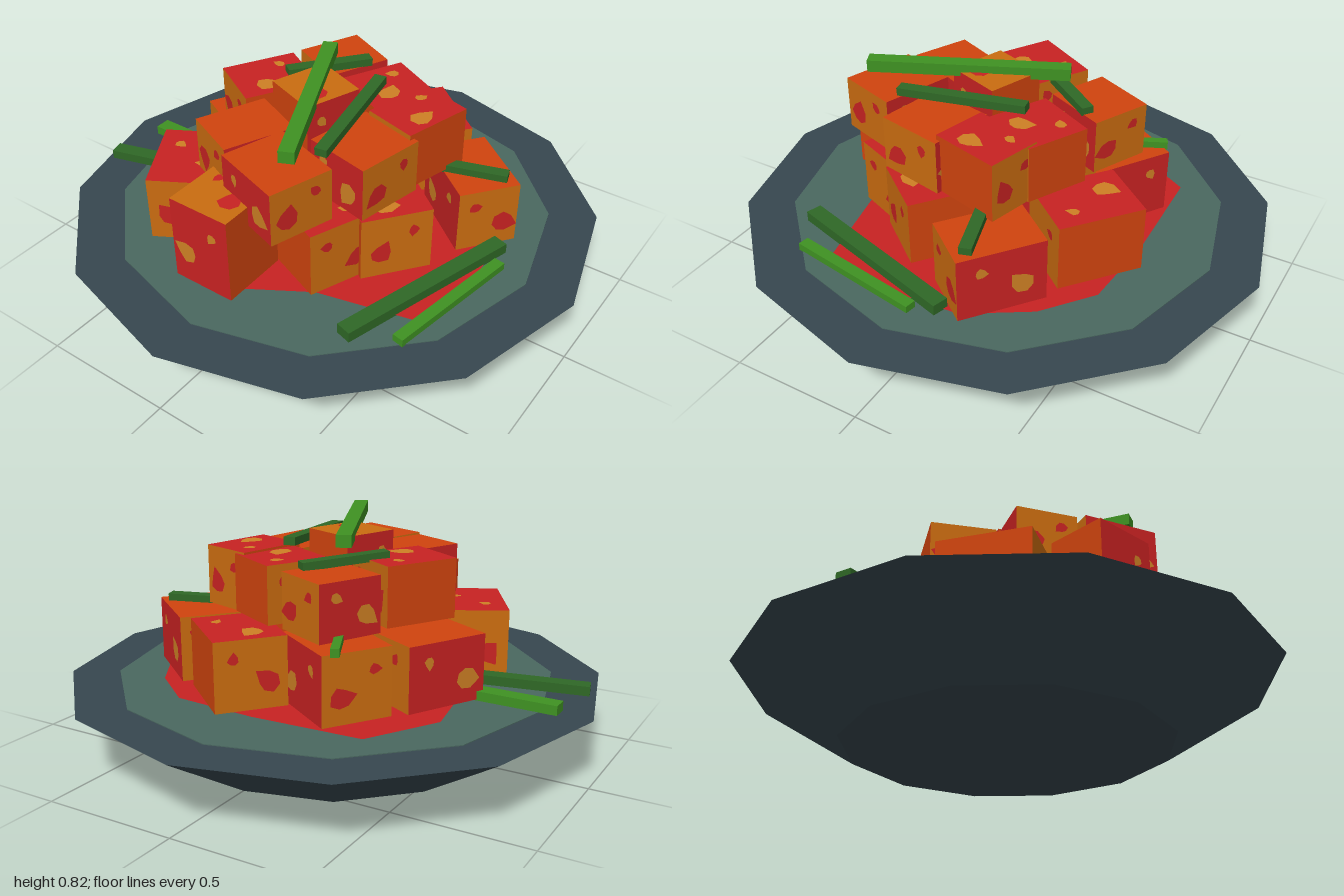
import * as THREE from 'three';

const mat = (name, color) => {
  const m = new THREE.MeshStandardMaterial({ color });
  m.name = name;
  return m;
};

export function createModel() {
  const model = new THREE.Group();
  model.name = 'cubedVegetablePlate';

  const slate = mat('slate', 0x37474f);
  const glaze = mat('greenGlaze', 0x4a6860);
  const red = mat('red', 0xc82222);
  const orange = mat('orange', 0xd0440e);
  const amber = mat('amber', 0xca6c10);
  const gold = mat('goldSpot', 0xce8024);
  const light = mat('lightGreen', 0x3f9222);
  const dark = mat('darkGreen', 0x2f6826);

  const add = (parent, name, geometry, material) => {
    const mesh = new THREE.Mesh(geometry, material);
    mesh.name = name;
    parent.add(mesh);
    return mesh;
  };
  const faceted = (g) => {
    const flat = g.toNonIndexed();
    flat.computeVertexNormals();
    return flat;
  };

  // Twelve-sided plate with a flat glazed centre
  const RIM = 0.245;
  add(model, 'plate', faceted(new THREE.CylinderGeometry(1, 0.61, RIM, 12)), slate).position.y = RIM / 2;
  add(model, 'plateCentre', faceted(new THREE.CylinderGeometry(0.82, 0.82, 0.003, 12)), glaze).position.y = RIM + 0.0015;

  // Irregular puddle of sauce; shape y is -z
  const puddle = [[-0.42, -0.54], [0, -0.56], [0.32, -0.54], [0.5, -0.4], [0.64, -0.18], [0.66, 0.1],
    [0.6, 0.38], [0.25, 0.46], [0.02, 0.6], [-0.3, 0.5], [-0.5, 0.12], [-0.57, -0.28]];
  const sauce = new THREE.ShapeGeometry(new THREE.Shape(puddle.map(([x, z]) => new THREE.Vector2(x, -z)).reverse()));
  sauce.rotateX(-Math.PI / 2);
  add(model, 'sauce', sauce, red).position.y = RIM + 0.007;

  // Small seeded generator for spot placement
  let seed = 11;
  const rand = () => (seed = (seed * 16807) % 2147483647) / 2147483647;

  const spotShape = (r) => {
    const turn = rand() * Math.PI * 2;
    const pts = [];
    for (let i = 0; i < 7; i++) {
      const a = (i / 7) * Math.PI * 2;
      const d = r * (i === 0 ? 1.4 : 0.72 + 0.3 * rand());
      pts.push(new THREE.Vector2(Math.cos(a + turn) * d, Math.sin(a + turn) * d));
    }
    return new THREE.ShapeGeometry(new THREE.Shape(pts));
  };

  // One large and one small spot on a cube face
  const addSpots = (cube, material, width, height, offset, rx, ry) => {
    const face = new THREE.Group();
    face.name = 'faceSpots';
    const side = rand() < 0.5 ? -1 : 1;
    [[0.24, -0.12, 0.045], [-0.24, 0.22, 0.022]].forEach(([u, v, r]) => {
      const spot = add(face, 'spot', spotShape(r), material);
      spot.position.set(u * side * width, v * height, offset + 0.002);
    });
    face.rotation.set(rx, ry, 0);
    cube.add(face);
  };

  // Cube with a colour for each axis: x sides, top and bottom, z sides
  const addCube = (name, x, z, w, d, bottom, top, degrees, cx, cy, cz) => {
    const cube = new THREE.Group();
    cube.name = name;
    const h = top - bottom;
    add(cube, 'cubeBody', new THREE.BoxGeometry(w, h, d), [cx, cx, cy, cy, cz, cz]);
    const spotOn = (c) => (c === red ? gold : c === amber ? red : null);
    const q = Math.PI / 2;
    if (spotOn(cx)) [q, -q].forEach((ry) => addSpots(cube, spotOn(cx), d, h, w / 2, 0, ry));
    if (spotOn(cz)) [0, 2 * q].forEach((ry) => addSpots(cube, spotOn(cz), w, h, d / 2, 0, ry));
    if (spotOn(cy)) addSpots(cube, spotOn(cy), w, d, h / 2, -q, 0);
    cube.position.set(x, (bottom + top) / 2, z);
    cube.rotation.y = -THREE.MathUtils.degToRad(degrees);
    model.add(cube);
  };

  // Lower layer
  const L = 0.252;
  [
    [0.155, -0.405, 0.32, 0.26, L, 0.505, 39, amber, red, orange],
    [0.475, -0.205, 0.32, 0.23, L, 0.495, 38, amber, orange, red],
    [-0.205, -0.34, 0.31, 0.26, L, 0.5, 33, amber, orange, red],
    [-0.38, -0.06, 0.33, 0.32, L, 0.49, 28, red, orange, amber],
    [-0.375, 0.345, 0.29, 0.33, L, 0.505, -30, orange, red, amber],
    [-0.08, 0.53, 0.245, 0.26, L, 0.582, 0, orange, amber, red],
    [0.175, 0.31, 0.26, 0.26, L, 0.505, 22, amber, red, orange],
    [0.315, 0.13, 0.26, 0.26, L, 0.5, 38, amber, red, orange],
    [-0.02, -0.1, 0.28, 0.28, L, 0.5, 20, red, amber, orange],
  ].forEach((c) => addCube('lowerCube', ...c));

  // Upper layer and the crowning cube
  const U = 0.506;
  [
    [-0.155, -0.29, 0.23, 0.25, U, 0.71, 25, red, orange, amber],
    [-0.275, 0.015, 0.24, 0.285, U, 0.725, 30, orange, red, amber],
    [-0.16, 0.305, 0.225, 0.27, U, 0.708, 24, red, orange, amber],
    [0.075, 0.43, 0.285, 0.245, U, 0.71, 18, amber, orange, red],
    [0.24, 0.155, 0.255, 0.26, U, 0.71, 12, amber, orange, red],
    [0.3, -0.09, 0.21, 0.27, U, 0.728, 15, orange, red, amber],
    [0.115, -0.185, 0.24, 0.25, U, 0.72, 27, amber, red, orange],
    [-0.03, 0.065, 0.22, 0.22, 0.53, 0.79, 20, red, amber, orange],
  ].forEach((c) => addCube('upperCube', ...c));

  // Green stalks: two end points (x, y, z), width, thickness, colour
  [
    [[-0.14, 0.797, -0.18], [0.165, 0.797, 0.49], 0.055, 0.045, light],
    [[0.11, 0.765, -0.14], [0.19, 0.742, 0.34], 0.045, 0.03, dark],
    [[-0.04, 0.722, -0.3], [-0.23, 0.735, -0.03], 0.045, 0.03, dark],
    [[-0.3, 0.51, -0.51], [-0.2, 0.51, -0.3], 0.03, 0.03, light],
    [[0.62, 0.507, -0.2], [0.2, 0.507, -0.07], 0.045, 0.03, dark],
    [[-0.88, 0.265, 0.01], [-0.4, 0.265, 0.01], 0.062, 0.035, light],
    [[-0.91, 0.265, 0.25], [-0.25, 0.28, 0.08], 0.058, 0.035, dark],
    [[0.655, 0.268, -0.12], [0.45, 0.268, 0.58], 0.06, 0.04, dark],
    [[0.7, 0.26, -0.03], [0.61, 0.26, 0.5], 0.042, 0.03, light],
  ].forEach(([a, b, width, thick, colour]) => {
    const from = new THREE.Vector3(...a);
    const to = new THREE.Vector3(...b);
    const stalk = add(model, 'greenStalk', new THREE.BoxGeometry(width, thick, from.distanceTo(to)), colour);
    stalk.position.copy(from).lerp(to, 0.5);
    stalk.lookAt(to);
  });

  return model;
}
